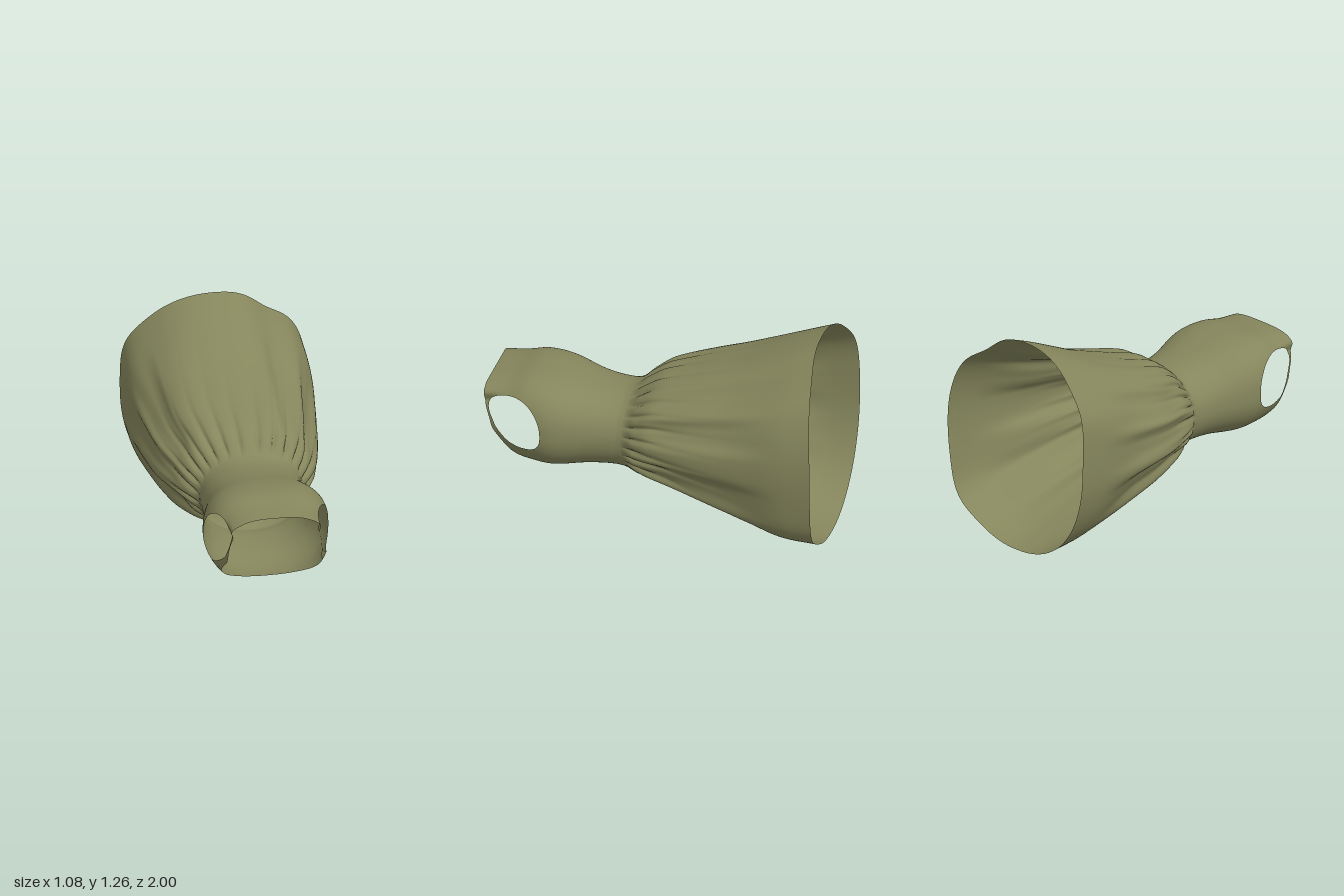
import * as THREE from 'three';

// Cross-sections along the garment: z, top y, bottom y, right x, left x
const SECTIONS = [
  [1.0, 0.81, 0.32, -0.30, 0.345],
  [0.87, 0.825, 0.31, -0.31, 0.345],
  [0.75, 0.845, 0.29, -0.335, 0.37],
  [0.6, 0.835, 0.28, -0.335, 0.38],
  [0.4, 0.79, 0.31, -0.29, 0.33],
  [0.25, 0.775, 0.32, -0.28, 0.31],
  [0.17, 0.79, 0.31, -0.285, 0.315],
  [0.1, 0.85, 0.285, -0.345, 0.37],
  [0.0, 0.92, 0.25, -0.405, 0.42],
  [-0.2, 0.99, 0.195, -0.475, 0.465],
  [-0.4, 1.06, 0.135, -0.505, 0.495],
  [-0.6, 1.14, 0.075, -0.525, 0.52],
  [-0.8, 1.22, 0.025, -0.537, 0.54],
  [-1.0, 1.30, 0.0, -0.54, 0.535],
];
// Neckline: normalised height, z
const NECKLINE = [[1, 0.99], [0.9, 1.0], [0.5, 0.99], [0.15, 0.965], [-0.15, 0.94],
  [-0.4, 0.88], [-0.7, 0.8], [-0.9, 0.72], [-1, 0.68]];
// Broad hollows between the skirt pleats: direction and half width in degrees, depth
const HOLLOWS = [[93, 22, 0.02], [50, 12, 0.025], [22, 11, 0.035], [150, 12, 0.035], [176, 9, 0.03],
  [207, 12, 0.05], [240, 10, 0.02], [275, 19, 0.035], [310, 11, 0.03], [338, 11, 0.035]];
// Flattened and squared-out stretches of the hem, in the same terms
const HEM_SHAPE = [[57, 17, 0.045], [154, 15, -0.03], [322, 16, -0.04]];
const WAIST = 0.18, TUCK = 0.1, SEGMENTS = 240;
const { smoothstep, lerp, degToRad } = THREE.MathUtils;

// Smooth Hermite lookup in a table sorted by falling key
function lookup(table, key, col) {
  let i = 0;
  while (i < table.length - 2 && key < table[i + 1][0]) i++;
  const p = (k) => table[Math.min(Math.max(k, 0), table.length - 1)];
  const slope = (k) => (p(k + 1)[col] - p(k - 1)[col]) / (p(k + 1)[0] - p(k - 1)[0]);
  const a = p(i), b = p(i + 1), h = b[0] - a[0];
  const t = Math.min(Math.max((key - a[0]) / h, 0), 1), t2 = t * t, t3 = t2 * t;
  return (2 * t3 - 3 * t2 + 1) * a[col] + (t3 - 2 * t2 + t) * h * slope(i)
    + (3 * t2 - 2 * t3) * b[col] + (t3 - t2) * h * slope(i + 1);
}

const power = (v, e) => Math.sign(v) * Math.abs(v) ** e;
// Sections are near-elliptical, with squarer shoulders on the upper bodice
const shoulder = (angle, z) => (Math.sin(angle) > 0 ? smoothstep(z, 0.2, 0.75) : 0);
const height = (angle, z) => power(Math.sin(angle), lerp(0.95, 0.8, shoulder(angle, z)));
// Shoulder straps turn inwards below their outer corners
const strapTurn = (angle, z) =>
  0.17 * smoothstep(z, 0.82, 0.97) * (1 - smoothstep(Math.sin(angle), 0.45, 0.78));
const width = (angle, z) =>
  power(Math.cos(angle), lerp(0.88, 0.62, shoulder(angle, z))) * (1 - strapTurn(angle, z));
const neckZ = (angle) => lookup(NECKLINE, height(angle, 1), 1);
const hemZ = (angle) => {
  const s = Math.sin(angle);
  return -1 + (s > 0 ? 0.08 : 0.02) * s * s + 0.01 * Math.max(0, -Math.cos(angle));
};

// Sum of soft bumps placed round the body
function bumps(list, angle, sharpness) {
  return list.reduce((sum, [centre, half, depth]) => {
    const off = angle - degToRad(centre);
    const d = Math.abs(Math.atan2(Math.sin(off), Math.cos(off))) / degToRad(half);
    return sum + depth * Math.exp(-(d ** sharpness));
  }, 0);
}

// Inward depth of the skirt folds: tight gathers, broad hollows, hem shape
function foldDepth(angle, z) {
  const t = Math.max(0, (WAIST - z) / 1.17);
  const valley = (1 - Math.abs(Math.sin(13 * angle + 0.3 + 2 * t + 0.45 * Math.sin(2 * angle + 1)))) ** 1.6;
  return smoothstep(t, 0, 0.08) * 0.05 * valley * Math.exp(-t * 6)
    + smoothstep(t, 0, 0.25) * (1 - smoothstep(t, 0.5, 0.88)) * bumps(HOLLOWS, angle, 4)
    + smoothstep(t, 0.1, 0.8) * bumps(HEM_SHAPE, angle, 2);
}

// Point on the cloth; past the waist the bodice tucks inwards under the skirt
function clothPoint(angle, z, isBodice) {
  const sectionZ = isBodice ? Math.max(z, WAIST) : z;
  const [top, bottom, right, left] = [1, 2, 3, 4].map((c) => lookup(SECTIONS, sectionZ, c));
  const tuck = isBodice ? 1 - smoothstep(z, TUCK, WAIST) : 0;
  const cx = lerp((left + right) / 2, 0.025, tuck), cy = lerp((top + bottom) / 2, 0.57, tuck);
  const rx = lerp((left - right) / 2, 0.225, tuck), ry = lerp((top - bottom) / 2, 0.22, tuck);
  const k = 1 - foldDepth(angle, sectionZ) / ((rx + ry) / 2);
  return [cx + rx * k * width(angle, z), cy + ry * k * height(angle, z), z];
}

// Slanted oval armholes on both sides: pulls inner points onto the rim
function armhole(angle, z) {
  const mirrored = Math.cos(angle) < 0;
  const phi = Math.asin(Math.sin(angle));
  const dp = (phi - 0.19) / 0.55;
  const dz = (z - 0.805 - 0.055 * dp) / 0.155;
  const d = Math.hypot(dp, dz);
  if (d >= 1) return { angle, z, inside: false };
  const f = 1 / Math.max(d, 0.001);
  const rim = 0.19 + 0.55 * dp * f;
  return {
    angle: mirrored ? Math.PI - rim : rim,
    z: 0.805 + 0.055 * dp * f + 0.155 * dz * f,
    inside: true,
  };
}

// Cloth tube between two edges; the bodice has its armholes cut out
function clothTube(name, material, startZ, endZ, rows, isBodice) {
  const positions = [], index = [], inside = [];
  for (let j = 0; j <= rows; j++) {
    for (let i = 0; i < SEGMENTS; i++) {
      let angle = (i / SEGMENTS) * Math.PI * 2;
      let z = lerp(startZ(angle), endZ(angle), j / rows);
      let cut = false;
      if (isBodice) ({ angle, z, inside: cut } = armhole(angle, z));
      positions.push(...clothPoint(angle, z, isBodice));
      inside.push(cut);
    }
  }
  const face = (a, b, c) => {
    if (!(inside[a] && inside[b] && inside[c])) index.push(a, b, c);
  };
  for (let j = 0; j < rows; j++) {
    for (let i = 0; i < SEGMENTS; i++) {
      const n = (i + 1) % SEGMENTS;
      const a = j * SEGMENTS + i, b = j * SEGMENTS + n;
      face(a, a + SEGMENTS, b);
      face(b, a + SEGMENTS, b + SEGMENTS);
    }
  }
  const geometry = new THREE.BufferGeometry();
  geometry.setAttribute('position', new THREE.Float32BufferAttribute(positions, 3));
  geometry.setIndex(index);
  geometry.computeVertexNormals();
  const mesh = new THREE.Mesh(geometry, material);
  mesh.name = name;
  return mesh;
}

export function createModel() {
  const cloth = new THREE.MeshStandardMaterial({ color: 0x85865c, side: THREE.DoubleSide });
  cloth.name = 'olive cloth';
  const model = new THREE.Group();
  model.name = 'dress';
  // Sleeveless bodice with a scooped neckline
  model.add(clothTube('bodice', cloth, neckZ, () => TUCK, 80, true));
  // Flared skirt gathered into the waist
  model.add(clothTube('skirt', cloth, () => WAIST, hemZ, 110, false));
  return model;
}
